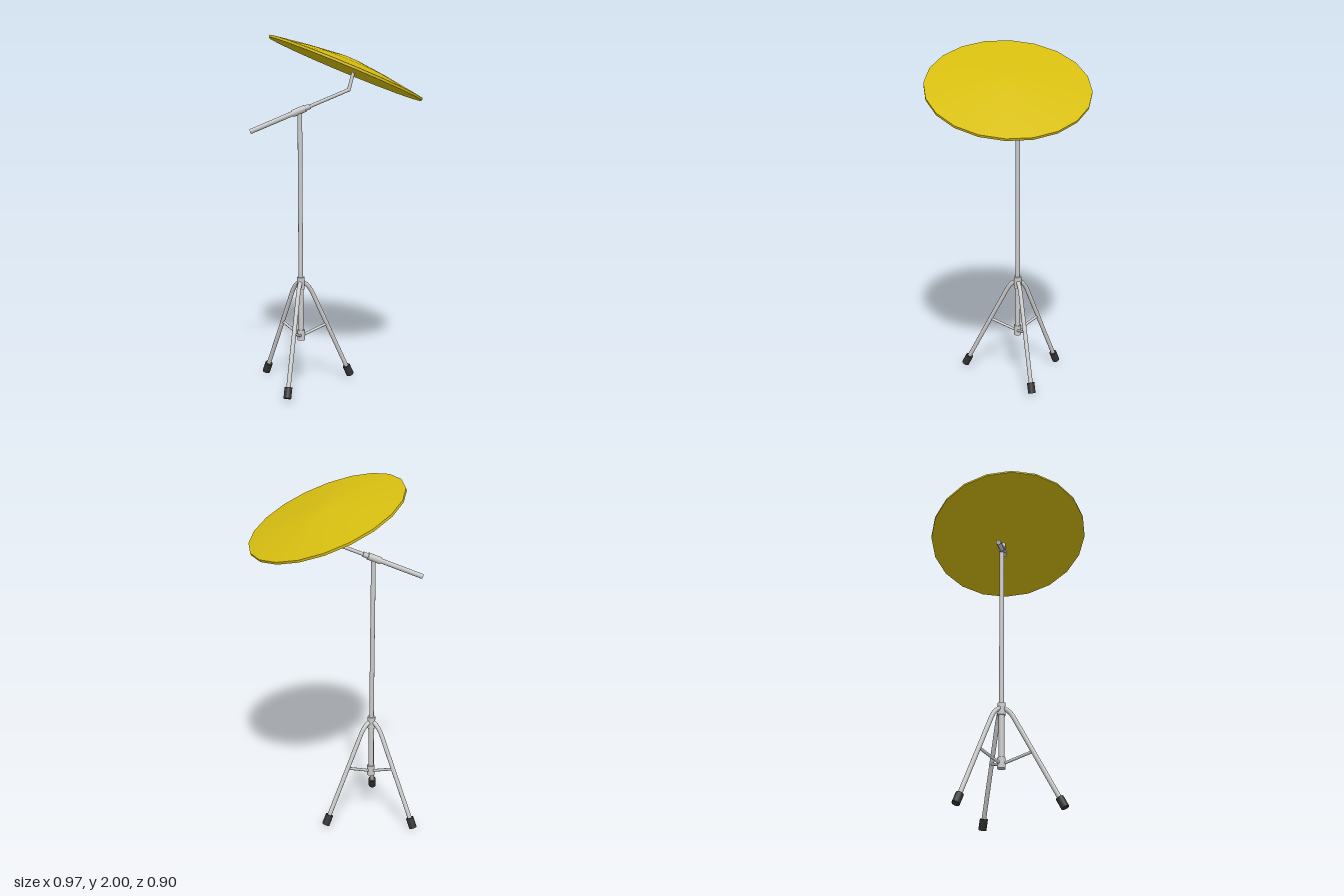
import * as THREE from 'three';
import { toCreasedNormals } from 'three/addons/utils/BufferGeometryUtils.js';

const metal = new THREE.MeshStandardMaterial({ color: 0xcccccc });
const rubber = new THREE.MeshStandardMaterial({ color: 0x333333 });
const brass = new THREE.MeshStandardMaterial({ color: 0xd6bd10 });
const V = (x, y, z) => new THREE.Vector3(x, y, z);

// Capped cylinder running from point a to point b
function rod(name, a, b, radius, material = metal) {
  const dir = b.clone().sub(a);
  const mesh = new THREE.Mesh(new THREE.CylinderGeometry(radius, radius, dir.length(), 14), material);
  mesh.position.copy(a).lerp(b, 0.5);
  mesh.quaternion.setFromUnitVectors(V(0, 1, 0), dir.normalize());
  mesh.name = name;
  return mesh;
}

// Bent leg in the local xy plane, with its rubber foot and brace
function makeLeg(reach, footY) {
  const leg = new THREE.Group();
  const knee = V(0.07, 0.54, 0);
  const end = V(reach, footY, 0);
  const path = new THREE.CurvePath();
  path.add(new THREE.QuadraticBezierCurve3(V(0.01, 0.605, 0), V(0.045, 0.59, 0), knee));
  path.add(new THREE.LineCurve3(knee, end));
  const tube = new THREE.Mesh(new THREE.TubeGeometry(path, 40, 0.0125, 12), metal);
  tube.name = 'legTube';

  const footTop = end.clone().add(knee.clone().sub(end).setLength(0.062));
  const braceEnd = knee.clone().lerp(end, (0.54 - 0.345) / (0.54 - footY));
  leg.add(
    tube,
    rod('rubberFoot', footTop, end, 0.022, rubber),
    rod('brace', V(0.01, 0.292, 0), braceEnd, 0.008)
  );
  return leg;
}

export function createModel() {
  const model = new THREE.Group();
  model.name = 'cymbalStand';

  // Tripod and pole share one vertical axis
  const stand = new THREE.Group();
  stand.name = 'stand';
  stand.position.set(-0.16, 0, 0.146);
  stand.add(
    rod('lowerPole', V(0, 0.27, 0), V(0, 0.63, 0), 0.015),
    rod('upperPole', V(0, 0.6, 0), V(0, 1.585, 0), 0.013),
    rod('upperCollar', V(0, 0.565, 0), V(0, 0.635, 0), 0.022),
    rod('lowerCollar', V(0, 0.265, 0), V(0, 0.325, 0), 0.022)
  );
  // Foot offsets from the pole: x, z, height of the foot's end
  [[-0.303, 0.002, 0.01], [0.186, 0.281, 0.024], [0.114, -0.287, 0.02]].forEach(([x, z, y], i) => {
    const leg = makeLeg(Math.hypot(x, z), y);
    leg.rotation.y = Math.atan2(-z, x);
    leg.name = 'leg' + (i + 1);
    stand.add(leg);
  });
  model.add(stand);

  // Slanting boom arm with a stepped clamp and a bent tip
  const low = V(-0.355, 1.467, 0.343);
  const bend = V(0.033, 1.7, -0.046);
  const along = (t) => low.clone().lerp(bend, t);
  const elbow = new THREE.Mesh(new THREE.SphereGeometry(0.01, 12, 8), metal);
  elbow.position.copy(bend);
  elbow.name = 'boomElbow';
  model.add(
    rod('boomLower', low, along(0.5), 0.014),
    rod('boomUpper', along(0.5), bend, 0.01),
    rod('boomClamp', along(0.43), along(0.56), 0.02),
    rod('boomClampNeck', along(0.56), along(0.61), 0.015),
    elbow,
    rod('boomTip', bend, V(0.044, 1.812, -0.076), 0.01)
  );

  // Tilted shallow cymbal, flat underneath with a low centre
  const profile = [[0, 0], [0.457, 0], [0.457, 0.014], [0.26, 0.044], [0.065, 0.067], [0, 0.071]]
    .map(([r, y]) => new THREE.Vector2(r, y));
  const cymbal = new THREE.Mesh(toCreasedNormals(new THREE.LatheGeometry(profile, 20), 0.5), brass);
  cymbal.position.set(0.034, 1.813, -0.018);
  cymbal.rotation.set(-0.354, 0, -0.2);
  cymbal.name = 'cymbal';
  model.add(cymbal);

  return model;
}
